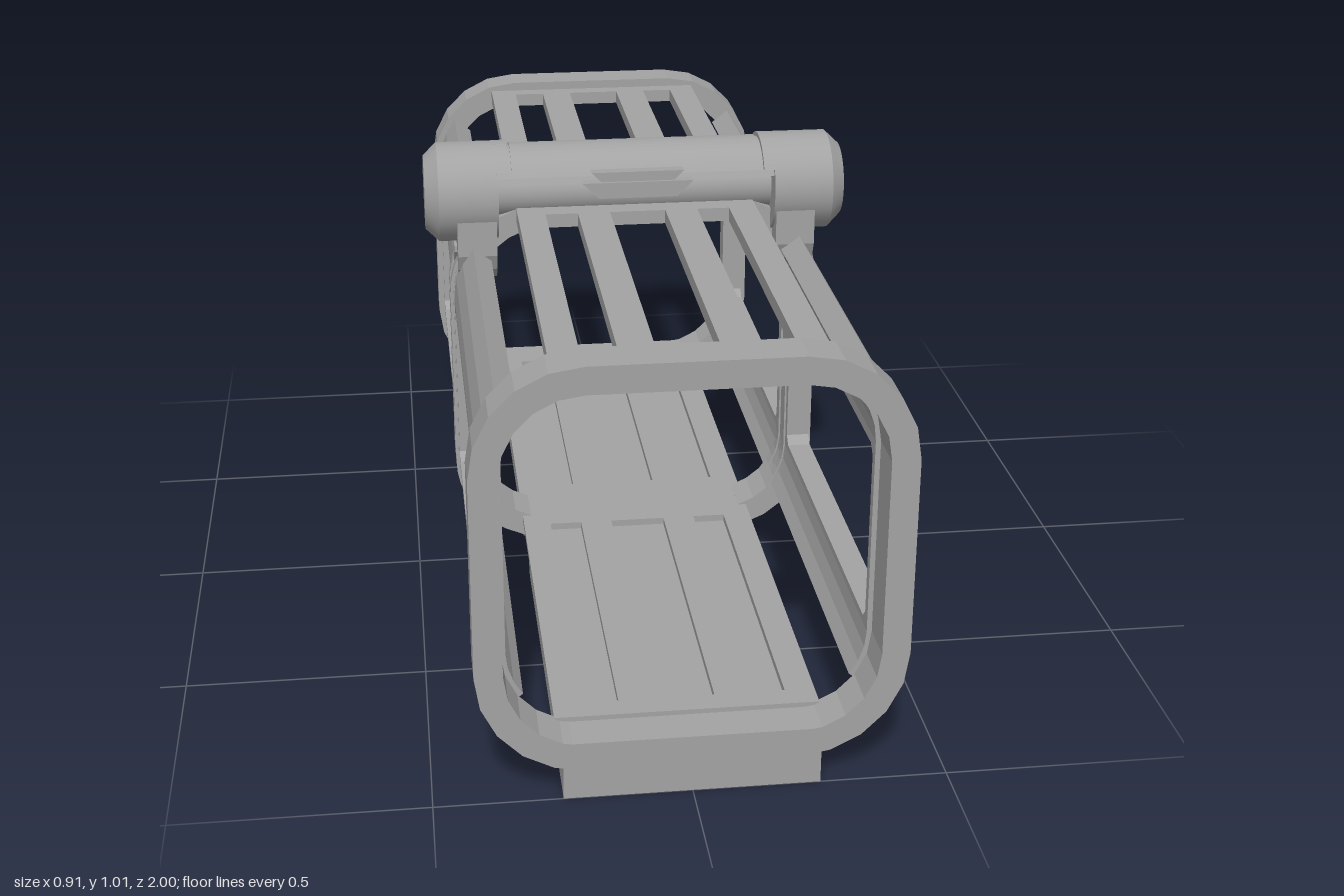
import * as THREE from 'three';

export function createModel() {
  const model = new THREE.Group();
  const grey = new THREE.MeshStandardMaterial({ color: 0xa3a3a3 });
  grey.name = 'grey metal';

  const add = (name, geometry) => {
    const mesh = new THREE.Mesh(geometry, grey);
    mesh.name = name;
    model.add(mesh);
    return mesh;
  };
  const box = (name, x0, x1, y0, y1, z0, z1) =>
    add(name, new THREE.BoxGeometry(x1 - x0, y1 - y0, z1 - z0)
      .translate((x0 + x1) / 2, (y0 + y1) / 2, (z0 + z1) / 2));
  const poly = (pts) => new THREE.Shape(pts.map(([x, y]) => new THREE.Vector2(x, y)));
  const solid = (shape, depth) =>
    new THREE.ExtrudeGeometry(shape, { depth, bevelEnabled: false });
  // (x, y) outline pushed along z
  const alongZ = (name, shape, z0, z1) => add(name, solid(shape, z1 - z0).translate(0, 0, z0));
  // (z, y) outline pushed along x
  const alongX = (name, shape, x0, x1) =>
    add(name, solid(shape, x1 - x0).rotateY(-Math.PI / 2).translate(x1, 0, 0));
  // (x, z) outline pushed along y
  const alongY = (name, shape, y0, y1) =>
    add(name, solid(shape, y1 - y0).rotateX(-Math.PI / 2).translate(0, y0, 0));
  const rect = (x0, x1, y0, y1, c = 0) => c
    ? poly([[x0 + c, y0], [x1 - c, y0], [x1, y0 + c], [x1, y1 - c],
      [x1 - c, y1], [x0 + c, y1], [x0, y1 - c], [x0, y0 + c]])
    : poly([[x0, y0], [x1, y0], [x1, y1], [x0, y1]]);

  // Points round one corner of the tunnel section; angles in degrees, side +1 or -1
  const CX = 0.2, TOP = 0.68, LOW = 0.275;
  const arc = (side, r, a0, a1, n = 5) => Array.from({ length: n + 1 }, (_, i) => {
    const a = THREE.MathUtils.degToRad(a0 + (a1 - a0) * i / n);
    return [side * (CX + r * Math.cos(a)), (a0 + a1 < 0 ? LOW : TOP) + r * Math.sin(a)];
  });
  const loop = (r) => [...arc(1, r, -90, 0), ...arc(1, r, 0, 90),
    ...arc(-1, r, 90, 0), ...arc(-1, r, 0, -90)];

  // End rings
  const ring = poly(loop(0.215));
  ring.holes.push(poly(loop(0.16)));
  alongZ('frontRing', ring, 0.91, 1);
  alongZ('backRing', ring, -1, -0.91);

  // Corner rails, window frames and the central hoop on both sides
  for (const s of [1, -1]) {
    const side = s > 0 ? 'left' : 'right';
    const rail = (a) => poly([...arc(s, 0.2, 0, a, 3), ...arc(s, 0.15, a, 0, 3)]);
    alongZ(side + 'UpperRail', rail(38), -0.91, 0.91);
    alongZ(side + 'LowerRail', rail(-38), -0.91, 0.91);

    const frame = rect(-0.91, 0.91, LOW, TOP);
    frame.holes.push(rect(0.065, 0.89, 0.29, 0.66, 0.018), rect(-0.89, -0.065, 0.29, 0.66, 0.018));
    alongX(side + 'WindowFrame', frame, s > 0 ? 0.35 : -0.4, s > 0 ? 0.4 : -0.35);

    const band = (r0, r1, a) => poly([...arc(s, r1, -a, 0), ...arc(s, r1, 0, a),
      ...arc(s, r0, a, 0), ...arc(s, r0, 0, -a)]);
    alongZ(side + 'CentreHoop', band(0.15, 0.202, 74), -0.052, 0.052);
    for (const z of [-0.032, 0.032])
      alongZ(side + 'HoopRib', band(0.146, 0.208, 40), z - 0.014, z + 0.014);
  }

  // Slotted roof and floor plates
  const slots = [[-0.2, -0.13], [-0.06, 0.06], [0.13, 0.2]];
  const slotted = rect(-0.26, 0.26, -0.92, 0.92);
  for (const [a, b] of slots)
    slotted.holes.push(rect(a, b, 0.1, 0.87), rect(a, b, -0.87, -0.1));
  alongY('roof', slotted, 0.845, 0.875);
  alongY('floorFrame', slotted, 0.115, 0.13);
  box('floorDeck', -0.25, 0.25, 0.1, 0.115, -0.91, 0.91);

  // Base: long runners, end blocks and a notched middle block
  for (const [a, b] of [[-0.25, -0.2], [-0.13, -0.06], [0.06, 0.13], [0.2, 0.25]]) {
    box('baseRunner', a, b, 0, 0.115, 0.1, 0.87);
    box('baseRunner', a, b, 0, 0.115, -0.87, -0.1);
  }
  box('frontBaseBlock', -0.25, 0.25, 0, 0.12, 0.87, 1);
  box('backBaseBlock', -0.25, 0.25, 0, 0.12, -1, -0.87);
  alongX('middleBaseBlock', poly([[-0.1, 0], [-0.07, 0.04], [0.07, 0.04], [0.1, 0],
    [0.1, 0.115], [-0.1, 0.115]]), -0.25, 0.25);

  // Carry handle
  const HY = 0.903;
  const cylinder = (name, rRight, rLeft, x0, x1) =>
    add(name, new THREE.CylinderGeometry(rLeft, rRight, x1 - x0, 32)
      .rotateZ(-Math.PI / 2).translate((x0 + x1) / 2, HY, 0));
  const segment = (r, y) => {
    const a = Math.asin((y - HY) / r);
    return poly(Array.from({ length: 17 }, (_, i) => {
      const t = a + (Math.PI - 2 * a) * i / 16;
      return [r * Math.cos(t), HY + r * Math.sin(t)];
    }));
  };
  cylinder('gripCore', 0.058, 0.058, -0.3, 0.3);
  alongX('gripShell', segment(0.098, 0.94), -0.3, 0.3);
  alongX('gripCover', segment(0.102, 0.962), -0.27, 0.27);
  for (const s of [1, -1]) {
    // Trapezoid flaps on the front and back of the grip
    const flap = (name, w0, w1, y0, y1, za, zb) => alongZ(name,
      poly([[-w0, y0], [w0, y0], [w1, y1], [-w1, y1]]),
      s > 0 ? za : -zb, s > 0 ? zb : -za);
    flap('gripLowerFlap', 0.085, 0.12, 0.91, 0.945, 0.075, 0.113);
    flap('gripUpperFlap', 0.07, 0.1, 0.936, 0.966, 0.075, 0.106);

    // End caps with a chamfered rim
    const at = (a, b) => (s > 0 ? [a, b] : [-b, -a]);
    cylinder('handleCap', 0.108, 0.108, ...at(0.3, 0.428));
    cylinder('handleCapChamfer', s > 0 ? 0.108 : 0.08, s > 0 ? 0.08 : 0.108, ...at(0.428, 0.457));
    alongX('handleCollar', segment(0.108, 0.955), ...at(0.277, 0.302));

    // Brackets down to the upper rails, with a small triangle plate
    alongX('handleBracket', poly([[-0.1, 0.89], [-0.1, 0.785], [-0.085, 0.75], [-0.045, 0.718],
      [0.045, 0.718], [0.085, 0.75], [0.1, 0.785], [0.1, 0.89]]), ...at(0.305, 0.39));
    alongX('bracketTriangle', poly([[-0.036, 0.788], [-0.036, 0.775], [-0.008, 0.737],
      [0.008, 0.737], [0.036, 0.775], [0.036, 0.788]]), ...at(0.389, 0.396));
  }
  return model;
}
